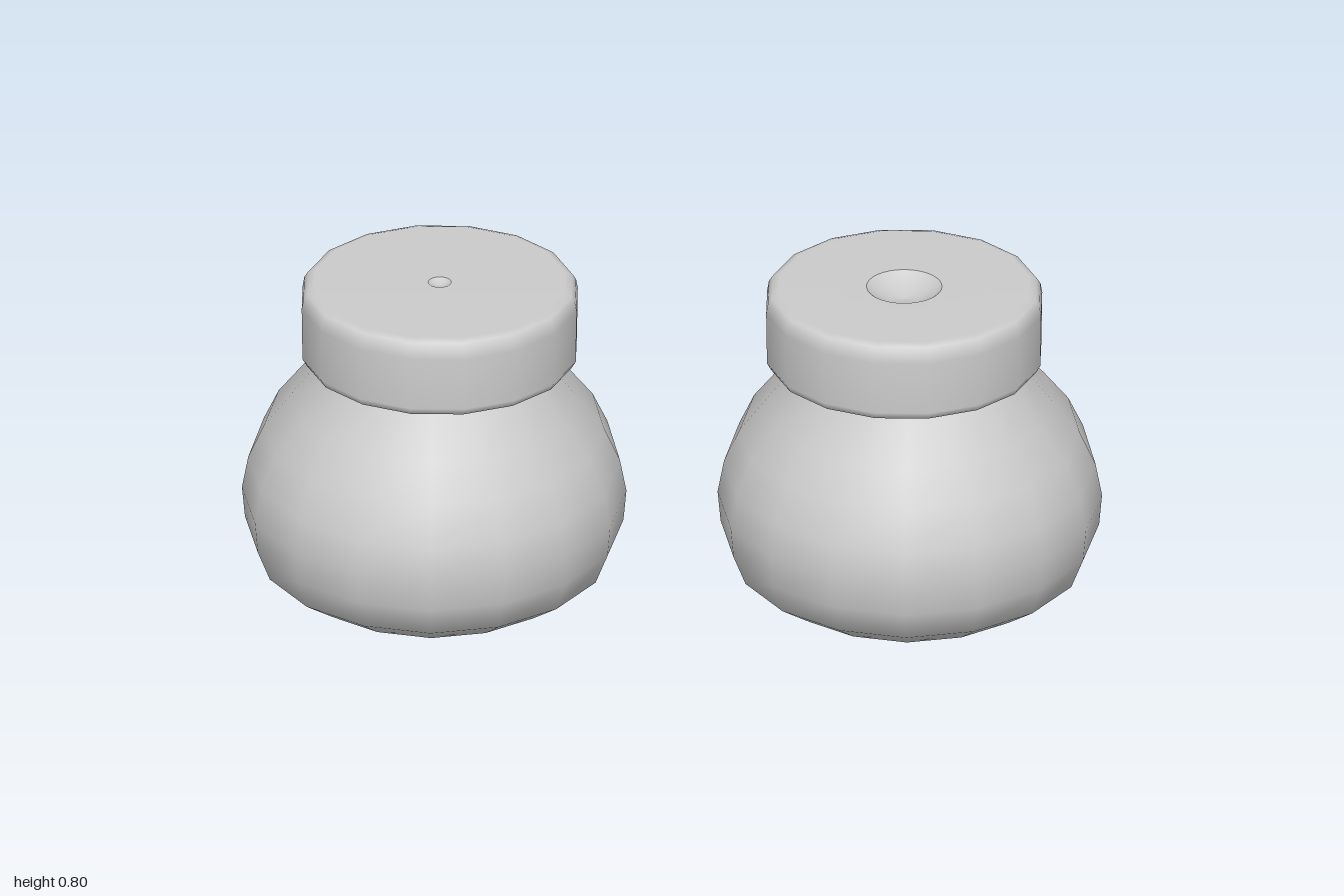
import * as THREE from 'three';

const SIDES = 16;
const grey = new THREE.MeshStandardMaterial({ color: 0xcccccc });
grey.name = 'plain grey';

// Foot rings, top to bottom: front z, front y, back z, back y, half width
const RINGS = [
  [0.30, 0.63, -0.23, 0.62, 0.255],
  [0.31, 0.60, -0.24, 0.585, 0.27],
  [0.385, 0.50, -0.34, 0.50, 0.335],
  [0.44, 0.42, -0.42, 0.41, 0.395],
  [0.485, 0.33, -0.47, 0.33, 0.432],
  [0.50, 0.25, -0.50, 0.24, 0.447],
  [0.49, 0.17, -0.50, 0.16, 0.44],
  [0.47, 0.10, -0.48, 0.075, 0.41],
  [0.385, 0.042, -0.39, 0.02, 0.33],
  [0.23, 0.018, -0.20, 0.001, 0.17],
];

// Rounded foot lofted through tilted oval rings and closed underneath
function footGeometry() {
  const pos = [], index = [];
  for (const [zf, yf, zb, yb, w] of RINGS) {
    for (let i = 0; i < SIDES; i++) {
      const a = (i / SIDES) * Math.PI * 2, s = Math.sin(a), t = (1 + Math.cos(a)) / 2;
      pos.push(w * s, yb + (yf - yb) * t, zb + (zf - zb) * t + 0.03 * s ** 4);
    }
  }
  for (let r = 0; r < RINGS.length - 1; r++) {
    for (let i = 0; i < SIDES; i++) {
      const a = r * SIDES + i, b = r * SIDES + (i + 1) % SIDES;
      index.push(a, a + SIDES, b, b, a + SIDES, b + SIDES);
    }
  }
  const last = (RINGS.length - 1) * SIDES, centre = pos.length / 3;
  pos.push(0, 0.009, 0.015);
  for (let i = 0; i < SIDES; i++) index.push(last + i, centre, last + (i + 1) % SIDES);
  const g = new THREE.BufferGeometry();
  g.setAttribute('position', new THREE.Float32BufferAttribute(pos, 3));
  g.setIndex(index);
  g.computeVertexNormals();
  return g;
}

// Sixteen-sided cuff with soft rims and a round dimple in its top
function cuffGeometry(hole) {
  const profile = [
    [0.2, -0.098], [0.30, -0.098], [0.314, -0.092], [0.324, -0.074], [0.326, 0.055],
    [0.322, 0.078], [0.313, 0.092], [0.296, 0.098], [hole, 0.098], [hole, 0.098],
    [hole * 0.8, 0.098 - hole * 0.15], [hole * 0.45, 0.098 - hole * 0.31], [0, 0.098 - hole * 0.38],
  ].map(([x, y]) => new THREE.Vector2(x, y));
  const g = new THREE.LatheGeometry(profile, SIDES * 2);
  // Pull every second column in so the outer wall has flat sides
  const p = g.attributes.position, k = Math.cos(Math.PI / SIDES);
  for (let i = 0; i < p.count; i++) {
    const column = Math.floor(i / profile.length);
    if (column % 2 === 0 && Math.hypot(p.getX(i), p.getZ(i)) > 0.15) {
      p.setX(i, p.getX(i) * k);
      p.setZ(i, p.getZ(i) * k);
    }
  }
  return g;
}

function makeFoot(name, side, hole) {
  const group = new THREE.Group();
  group.name = name;
  const foot = new THREE.Mesh(footGeometry(), grey);
  foot.name = 'foot';
  foot.position.x = side * 0.553;
  const cuff = new THREE.Mesh(cuffGeometry(hole), grey);
  cuff.name = 'cuff';
  cuff.position.set(side * 0.54, 0.694, 0.035);
  cuff.rotation.x = -0.035;
  group.add(foot, cuff);
  return group;
}

export function createModel() {
  const model = new THREE.Group();
  model.name = 'pair of feet';
  model.add(makeFoot('leftFoot', 1, 0.088), makeFoot('rightFoot', -1, 0.027));
  return model;
}
